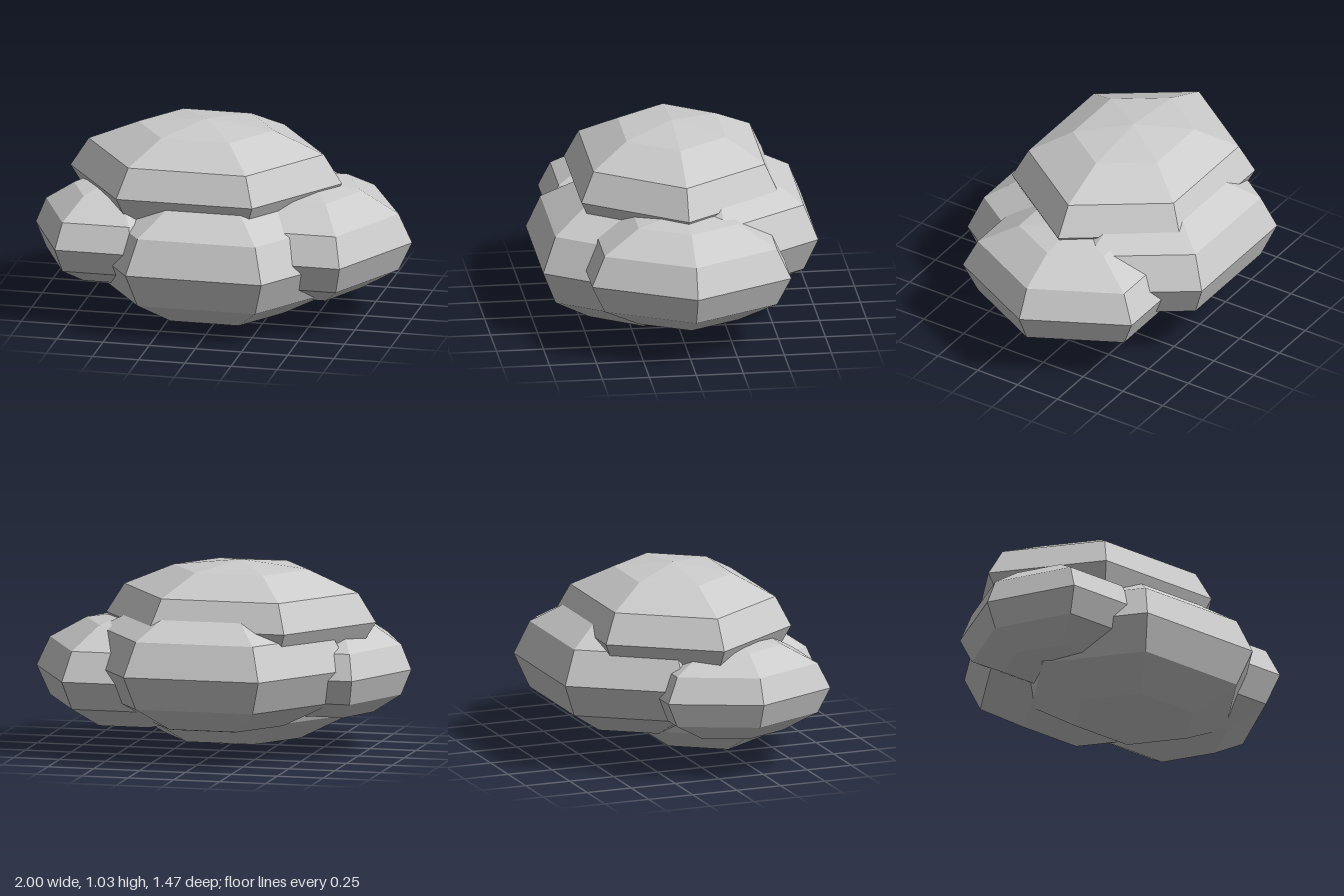
import * as THREE from 'three';

// Cluster of overlapping six-sided faceted stones.
export function createModel() {
  const group = new THREE.Group();
  group.name = 'boulderCluster';
  const material = new THREE.MeshStandardMaterial({ color: 0xcccccc, flatShading: true });
  const stone = new THREE.SphereGeometry(1, 6, 6);

  // name, centre, radii along x, y, z
  const stones = [
    ['topStone', [-0.115, 0.72, -0.01], [0.735, 0.31, 0.608]],
    ['frontStone', [-0.015, 0.37, 0.2], [0.735, 0.37, 0.615]],
    ['backStone', [-0.025, 0.49, -0.2], [0.735, 0.36, 0.615]],
    ['leftStone', [0.455, 0.42, -0.01], [0.545, 0.31, 0.612]],
    ['rightStone', [-0.585, 0.447, 0.155], [0.415, 0.27, 0.532]],
  ];
  for (const [name, centre, radii] of stones) {
    const mesh = new THREE.Mesh(stone, material);
    mesh.name = name;
    mesh.position.set(...centre);
    mesh.scale.set(...radii);
    group.add(mesh);
  }
  return group;
}
